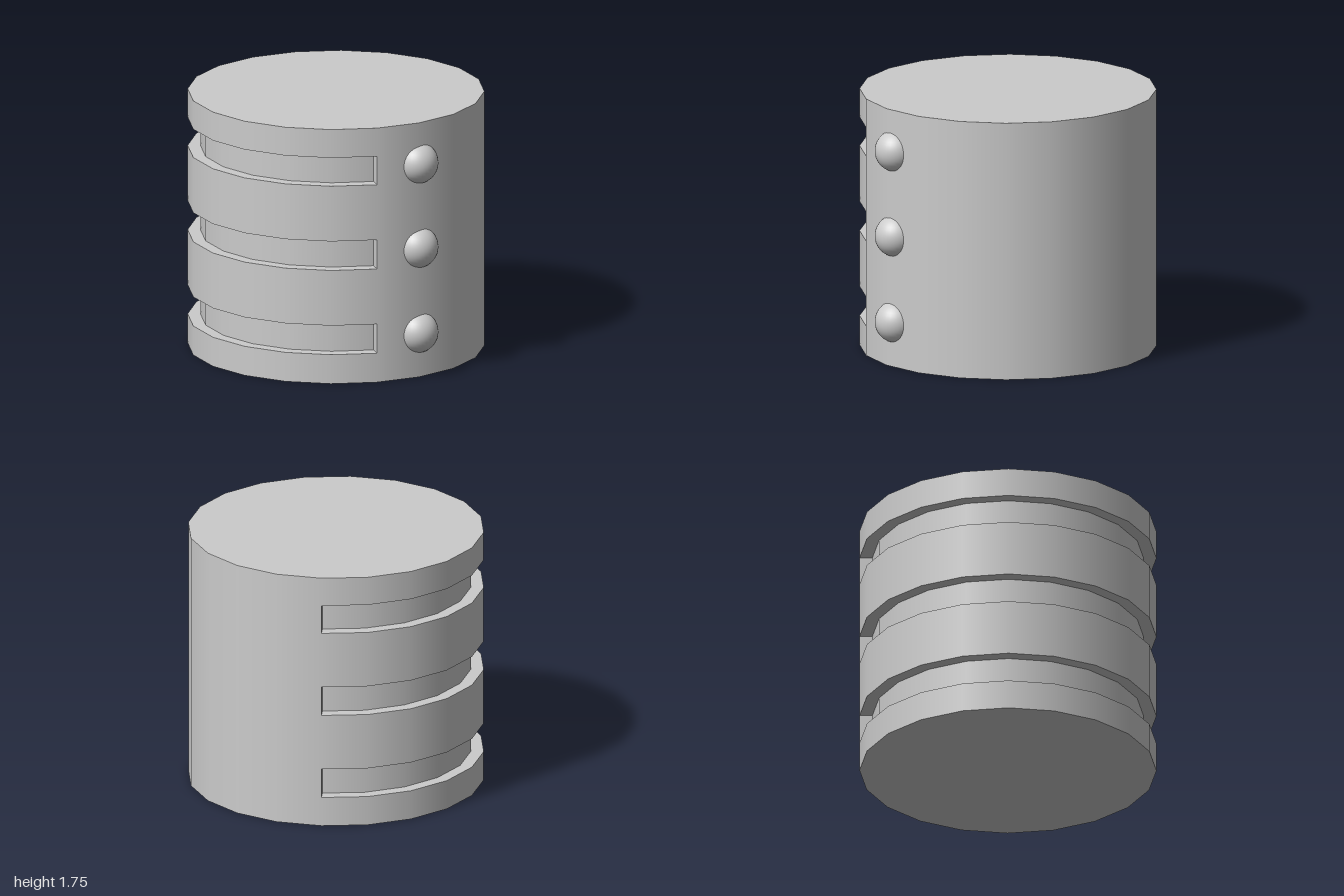
import * as THREE from 'three';

const SIDES = 20;
const STEP = (Math.PI * 2) / SIDES;
const R = 0.985, R_IN = 0.9, HEIGHT = 1.75;
// The grooves run from just past the back, round the right side, to the front.
const GROOVE_START = 9 * STEP, GROOVE_SIDES = 11;
const GROOVES = [[0.2, 0.4], [0.78, 0.98], [1.36, 1.555]];

export function createModel() {
  const model = new THREE.Group();
  model.name = 'groovedDrum';
  const drum = new THREE.Group();
  drum.name = 'drum';
  drum.position.z = -0.015;
  model.add(drum);

  const mat = new THREE.MeshStandardMaterial({ color: 0xcccccc });
  const thin = new THREE.MeshStandardMaterial({ color: 0xcccccc, side: THREE.DoubleSide });

  const add = (name, geometry, parent = drum, material = mat) => {
    const mesh = new THREE.Mesh(geometry, material);
    mesh.name = name;
    parent.add(mesh);
    return mesh;
  };
  // Open wall covering some of the sides, between two heights
  const wall = (name, r, y0, y1, start = 0, sides = SIDES) =>
    add(name, new THREE.CylinderGeometry(r, r, y1 - y0, sides, 1, true, start, sides * STEP)
      .translate(0, (y0 + y1) / 2, 0));

  // Top and bottom discs
  add('topDisc', new THREE.CircleGeometry(R, SIDES).rotateX(-Math.PI / 2).translate(0, HEIGHT, 0));
  add('bottomDisc', new THREE.CircleGeometry(R, SIDES).rotateX(Math.PI / 2));

  // Full bands between the grooves
  const edges = [0, ...GROOVES.flat(), HEIGHT];
  for (let i = 0; i < edges.length; i += 2) wall('band', R, edges[i], edges[i + 1]);

  // Grooves: uncut outer wall, recessed wall, two ledges and two end walls
  for (const [y0, y1] of GROOVES) {
    wall('uncutWall', R, y0, y1, 0, SIDES - GROOVE_SIDES);
    wall('grooveWall', R_IN, y0, y1, GROOVE_START, GROOVE_SIDES);
    for (const y of [y0, y1]) {
      add('grooveLedge', new THREE.RingGeometry(R_IN, R, GROOVE_SIDES, 1,
        GROOVE_START - Math.PI / 2, GROOVE_SIDES * STEP)
        .rotateX(-Math.PI / 2).translate(0, y, 0), drum, thin);
    }
    for (const angle of [0, GROOVE_START]) {
      add('grooveEnd', new THREE.PlaneGeometry(R - R_IN, y1 - y0)
        .translate((R + R_IN) / 2, (y0 + y1) / 2, 0)
        .rotateY(angle - Math.PI / 2), drum, thin);
    }
  }

  // Round studs on the front
  for (const y of [0.295, 0.88, 1.46]) {
    add('stud', new THREE.SphereGeometry(0.14, 32, 20), model).position.set(0.31, y, 0.86);
  }
  return model;
}
